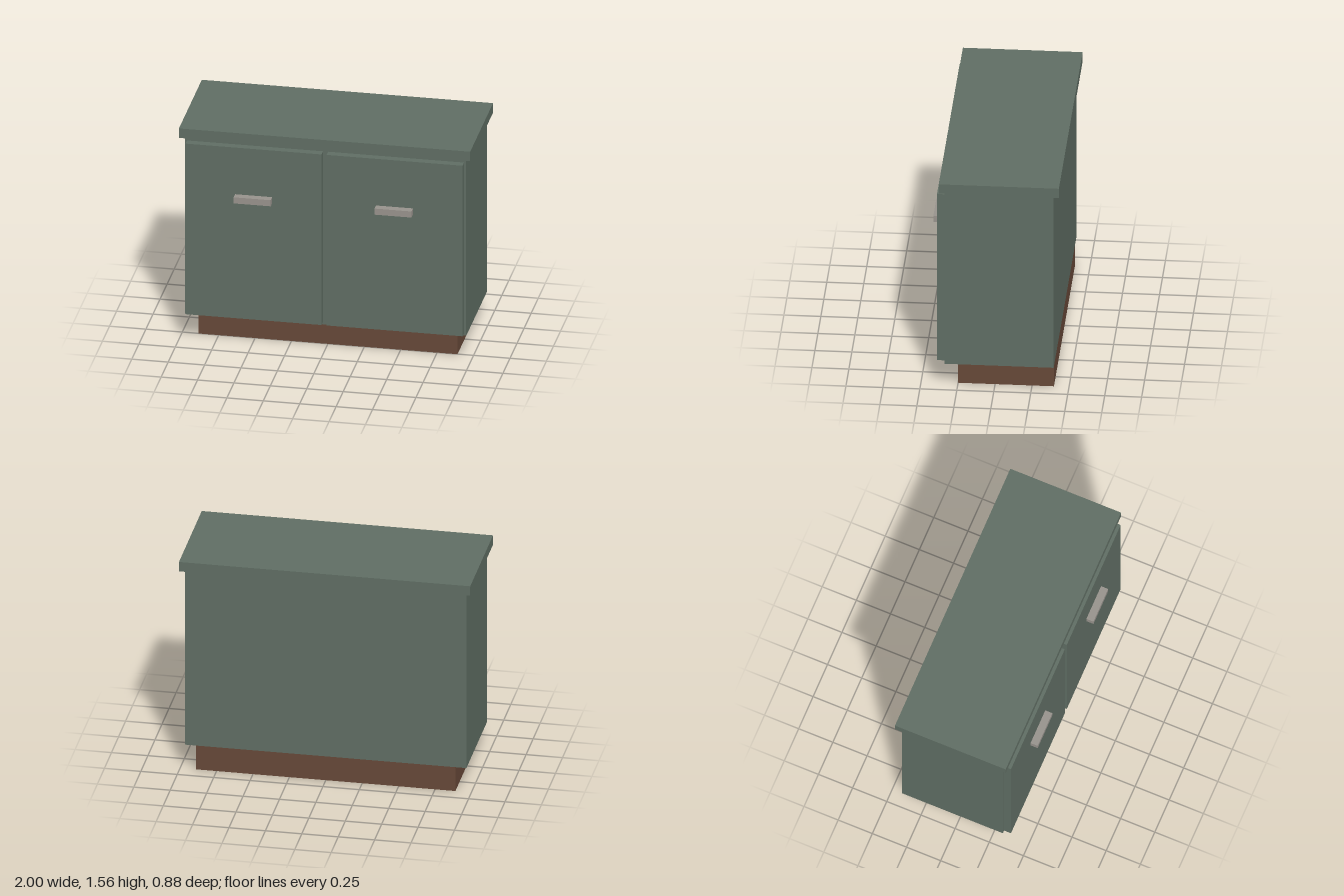
import * as THREE from 'three';

function material(name, color) {
  const m = new THREE.MeshStandardMaterial({ color });
  m.name = name;
  return m;
}

// Box given by its lower and upper limits on each axis
function block(name, [x0, x1], [y0, y1], [z0, z1], mat) {
  const mesh = new THREE.Mesh(new THREE.BoxGeometry(x1 - x0, y1 - y0, z1 - z0), mat);
  mesh.position.set((x0 + x1) / 2, (y0 + y1) / 2, (z0 + z1) / 2);
  mesh.name = name;
  return mesh;
}

export function createModel() {
  const green = material('sage green paint', 0x5f6d63);
  const brown = material('brown wood', 0x664838);
  const grey = material('warm grey metal', 0x97928c);

  const cabinet = new THREE.Group();
  cabinet.name = 'cabinet';

  // Recessed plinth, carcass and overhanging worktop
  cabinet.add(
    block('plinth', [-0.89, 0.89], [0, 0.18], [-0.398, 0.252], brown),
    block('carcass', [-0.966, 0.966], [0.18, 1.49], [-0.402, 0.335], green),
    block('worktop', [-1, 1], [1.49, 1.56], [-0.44, 0.37], green),
  );

  // Mirrored pair of doors, each with a bar handle
  for (const [side, s] of [['left', 1], ['right', -1]]) {
    const span = (a, b) => [s * a, s * b].sort((p, q) => p - q);
    const door = new THREE.Group();
    door.name = side + 'Door';
    door.add(
      block(side + 'DoorPanel', span(0.017, 0.951), [0.198, 1.46], [0.335, 0.388], green),
      block(side + 'Handle', span(0.356, 0.611), [1.07, 1.115], [0.388, 0.44], grey),
    );
    cabinet.add(door);
  }
  return cabinet;
}
